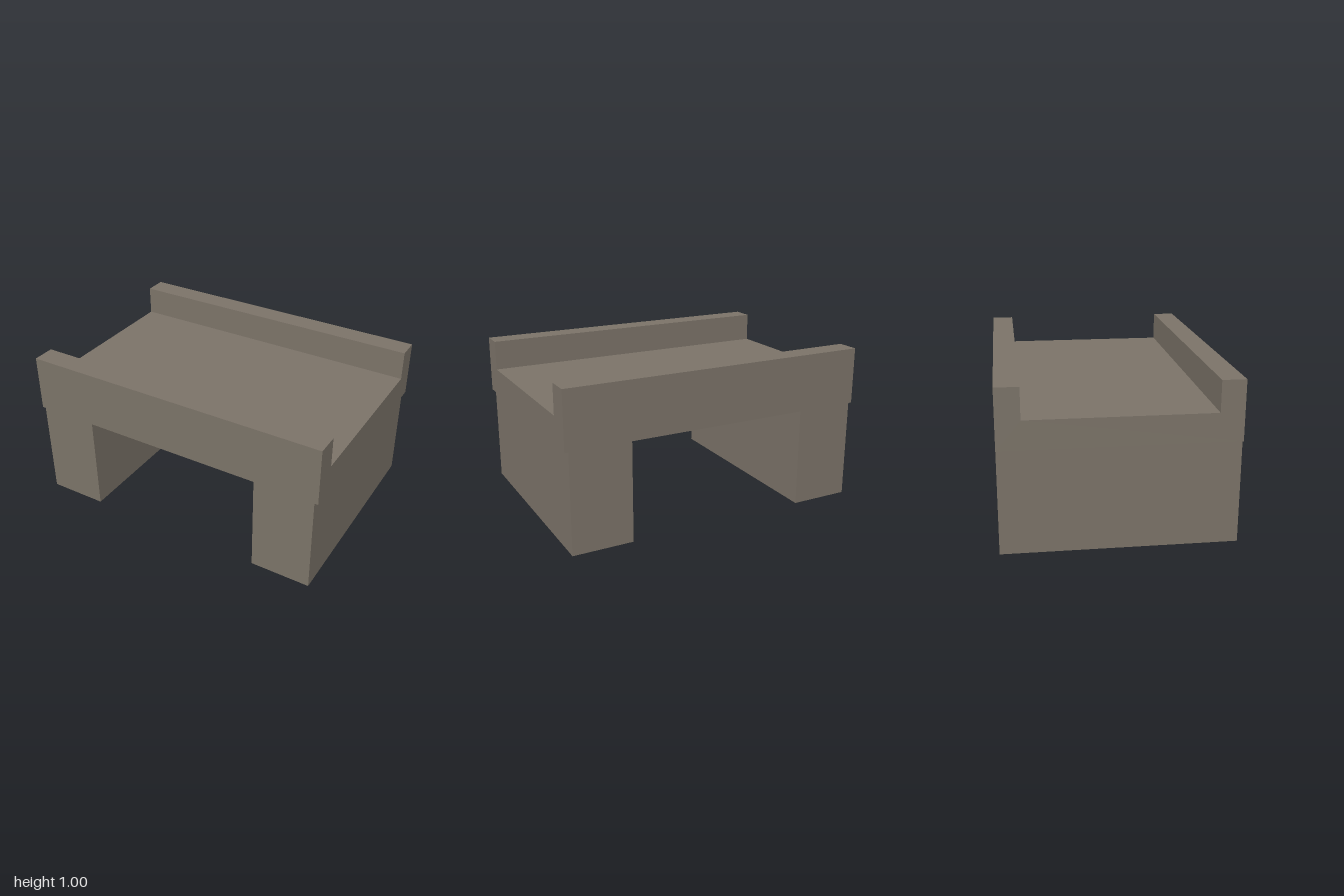
import * as THREE from 'three';

const WIDTH = 2, DEPTH = 1.4, HEIGHT = 1;
const LEG_HEIGHT = 0.635, DECK_TOP = 0.81, PARAPET_INNER = 0.557;
const LEG_INNER = 0.59, LEG_OUTER = 0.977;

export function createModel() {
  const model = new THREE.Group();
  model.name = 'bridge';
  const stone = new THREE.MeshStandardMaterial({ color: 0x7b7368 });
  stone.name = 'greyBrownStone';

  // Deck with a raised parapet along front and back: one U profile run along x
  const h = DEPTH / 2;
  const profile = new THREE.Shape([
    [-h, LEG_HEIGHT], [h, LEG_HEIGHT], [h, HEIGHT], [PARAPET_INNER, HEIGHT],
    [PARAPET_INNER, DECK_TOP], [-PARAPET_INNER, DECK_TOP],
    [-PARAPET_INNER, HEIGHT], [-h, HEIGHT],
  ].map(([z, y]) => new THREE.Vector2(z, y)));
  const deckGeometry = new THREE.ExtrudeGeometry(profile, { depth: WIDTH, bevelEnabled: false });
  deckGeometry.translate(0, 0, -WIDTH / 2).rotateY(Math.PI / 2);
  const deck = new THREE.Mesh(deckGeometry, stone);
  deck.name = 'deckWithParapets';
  model.add(deck);

  // Supporting piers, set in slightly from the deck ends
  const pierGeometry = new THREE.BoxGeometry(LEG_OUTER - LEG_INNER, LEG_HEIGHT, DEPTH);
  for (const [name, side] of [['leftPier', 1], ['rightPier', -1]]) {
    const pier = new THREE.Mesh(pierGeometry, stone);
    pier.name = name;
    pier.position.set(side * (LEG_INNER + LEG_OUTER) / 2, LEG_HEIGHT / 2, 0);
    model.add(pier);
  }
  return model;
}
